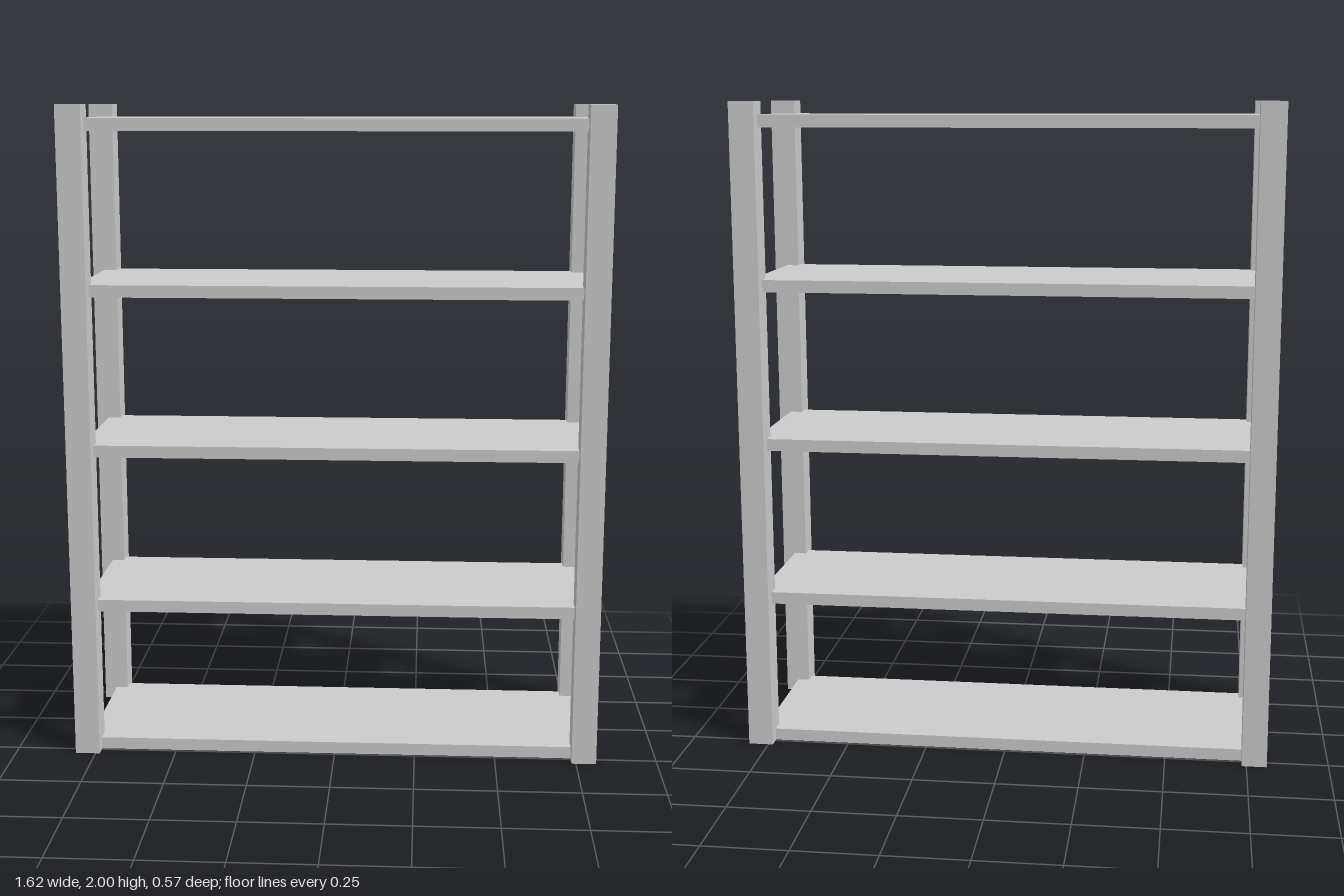
import * as THREE from 'three';

export function createModel() {
  const model = new THREE.Group();
  model.name = 'shelvingUnit';
  const material = new THREE.MeshStandardMaterial({ color: 0xcccccc, flatShading: true });
  const postX = 0.774, postZ = 0.243; // post centres, where the shelf corners meet

  function addBox(name, w, h, d, x, y, z) {
    const mesh = new THREE.Mesh(new THREE.BoxGeometry(w, h, d), material);
    mesh.name = name;
    mesh.position.set(x, y, z);
    model.add(mesh);
  }

  // Four corner posts
  for (const [side, sx] of [['left', 1], ['right', -1]])
    for (const [end, sz] of [['front', 1], ['back', -1]])
      addBox(`${end}_${side}_post`, 0.076, 2, 0.082, sx * postX, 1, sz * postZ);

  // Five shelves, notched into the posts at their corners
  const thickness = 0.037;
  [0.037, 0.49, 0.98, 1.47, 1.96].forEach((top, i) =>
    addBox(`shelf_${i + 1}`, postX * 2, thickness, postZ * 2, 0, top - thickness / 2, 0));

  return model;
}
